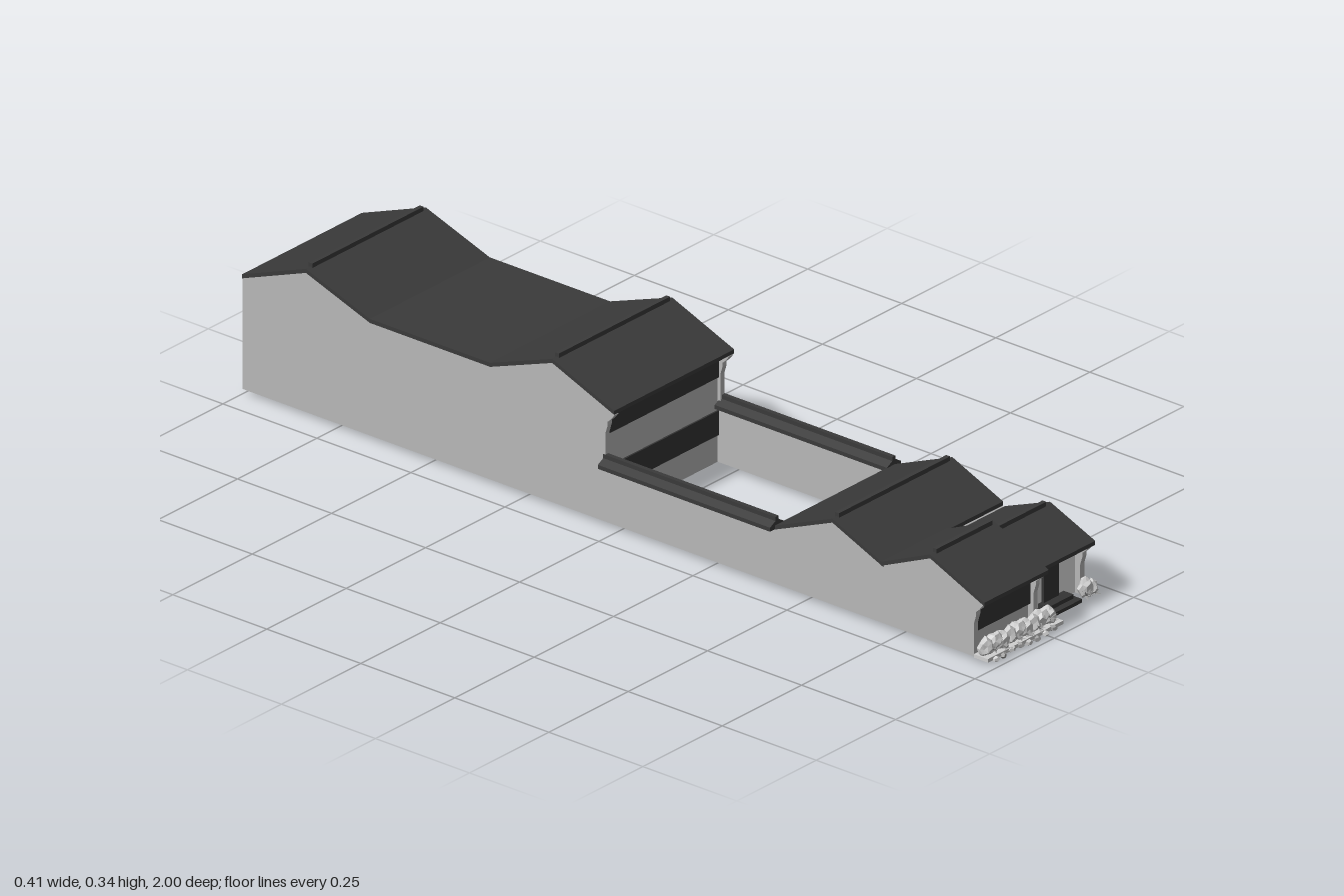
import * as THREE from 'three';
import { mergeGeometries } from 'three/addons/utils/BufferGeometryUtils.js';

const material = (name, color, side = THREE.FrontSide) => {
  const m = new THREE.MeshStandardMaterial({ color, side });
  m.name = name;
  return m;
};

export function createModel() {
  const group = new THREE.Group();
  const wall = material('wall grey', 0xb8b8b8);
  const white = material('white plaster', 0xffffff);
  const roof = material('roof charcoal', 0x3a3a3a);
  const dark = material('window charcoal', 0x343434);
  const stone = material('planter pale grey', 0xd0d0d0);
  const leaf = material('leaf grey', 0x9a9a9a, THREE.DoubleSide);

  const add = (name, geometry, mat) => {
    const mesh = new THREE.Mesh(geometry, mat);
    mesh.name = name;
    group.add(mesh);
    return mesh;
  };
  // Box given by its limits on each axis
  const box = (name, mat, x0, x1, y0, y1, z0, z1) => {
    const g = new THREE.BoxGeometry(x1 - x0, y1 - y0, z1 - z0);
    g.translate((x0 + x1) / 2, (y0 + y1) / 2, (z0 + z1) / 2);
    return add(name, g, mat);
  };
  // Outline in (z, y), extruded across x
  const slab = (name, mat, pts, x0, x1) => {
    const shape = new THREE.Shape(pts.map(([z, y]) => new THREE.Vector2(z, y)));
    const g = new THREE.ExtrudeGeometry(shape, { depth: x1 - x0, bevelEnabled: false });
    g.rotateY(-Math.PI / 2);
    g.translate(x1, 0, 0);
    return add(name, g, mat);
  };
  const lower = (pts, d) => pts.map(([z, y]) => [z, y - d]);
  const roofSlab = (name, pts, x0, x1) =>
    slab(name, roof, [...pts, ...lower(pts, 0.009).reverse()], x0, x1);

  // Roof lines, front to back
  const leftLine = [[0.975, 0.144], [0.83, 0.208], [0.7, 0.151]];
  const rightLine = [[0.95, 0.137], [0.83, 0.188], [0.71, 0.141]];
  const midLine = [[0.705, 0.15], [0.57, 0.208], [0.415, 0.144]];
  const rearLine = [[-0.01, 0.271], [-0.175, 0.337], [-0.34, 0.277], [-0.66, 0.277], [-0.83, 0.337], [-1, 0.272]];
  roofSlab('frontLeftRoof', leftLine, -0.19, 0.012);
  roofSlab('frontRightRoof', rightLine, 0.012, 0.188);
  roofSlab('middleRoof', midLine, -0.19, 0.188);
  roofSlab('rearRoof', rearLine, -0.19, 0.188);

  // Ridge caps
  for (const [z, y, x0, x1] of [[0.83, 0.208, -0.175, 0], [0.83, 0.188, 0.022, 0.17],
    [0.57, 0.208, -0.175, 0.175], [-0.175, 0.337, -0.175, 0.175], [-0.83, 0.337, -0.175, 0.175]])
    box('ridgeCap', roof, x0, x1, y - 0.004, y + 0.008, z - 0.005, z + 0.005);

  // Gabled side walls, with brackets stepping out under the eaves
  const B = 0.013;
  const bracket = (z, y) => [[z, B], [z, y - 0.05], [z + 0.006, y - 0.03], [z + 0.006, y - 0.022],
    [z + 0.014, y - 0.015], [z + 0.024, y - 0.002]];
  const rearWall = [...bracket(-0.035, 0.262), ...lower(rearLine.slice(1), 0.005), [-1, B]];
  const sideWall = (frontLine, z, y) => [
    ...bracket(z, y), ...lower(frontLine.slice(1), 0.005), ...lower(midLine.slice(1), 0.005),
    [0.41, 0.143], [-0.035, 0.143], ...rearWall.slice(1)];
  slab('rightSideWall', wall, sideWall(leftLine, 0.945, 0.137), -0.188, -0.175);
  slab('leftSideWall', wall, sideWall(rightLine, 0.922, 0.13), 0.174, 0.187);
  slab('dividingWall', wall,
    [...bracket(0.945, 0.137), ...lower(leftLine.slice(1), 0.005), [0.7, B]], 0, 0.012);

  // Cross walls
  box('rearEndWall', wall, -0.187, 0.187, B, 0.266, -1, -0.992);
  box('courtyardFrontWall', wall, -0.18, 0.18, B, 0.138, 0.412, 0.42);
  box('courtyardRearWall', wall, -0.178, 0.178, B, 0.264, -0.052, -0.042);
  for (const [y0, y1] of [[0.205, 0.255], [0.075, 0.13]]) {
    box('courtyardWindow', dark, -0.175, 0.174, y0, y1, -0.042, -0.038);
    box('courtyardWindowInside', dark, -0.175, 0.174, y0, y1, -0.056, -0.052);
  }

  // Tiled copings along both courtyard walls
  for (const s of [-1, 1]) {
    const cx = s * 0.184;
    const shape = new THREE.Shape([[-0.022, 0.137], [0.022, 0.137], [0.022, 0.146], [0.005, 0.155],
      [0.005, 0.164], [-0.005, 0.164], [-0.005, 0.155], [-0.022, 0.146]]
      .map(([x, y]) => new THREE.Vector2(x, y)));
    const g = new THREE.ExtrudeGeometry(shape, { depth: 0.458, bevelEnabled: false });
    g.translate(cx, 0, -0.04);
    add('courtyardCoping', g, roof);
  }

  // Left and right shopfronts
  box('shopfrontWall', wall, -0.177, 0.002, B, 0.138, 0.92, 0.93);
  box('shopfrontWindow', dark, -0.176, 0.001, 0.06, 0.127, 0.93, 0.936);
  box('entranceWall', white, 0.012, 0.175, B, 0.13, 0.9, 0.908);
  box('door', dark, 0.068, 0.115, 0.03, 0.125, 0.908, 0.915);
  box('doorHandle', roof, 0.114, 0.118, 0.03, 0.09, 0.908, 0.913);
  box('lowerStep', dark, 0.05, 0.147, B, 0.021, 0.908, 0.95);
  box('upperStep', dark, 0.058, 0.138, 0.021, 0.03, 0.908, 0.935);
  box('sideWindow', dark, 0.187, 0.195, 0.067, 0.095, 0.822, 0.84);

  // Planter with rough pale shrubs
  let seed = 7;
  const rnd = () => (seed = (seed * 16807) % 2147483647) / 2147483647;
  box('planterBase', stone, -0.188, 0.05, 0.01, 0.018, 0.945, 0.982);
  const shrub = (x, y, z, rx, ry, rz) => {
    const g = new THREE.IcosahedronGeometry(1, 1);
    const p = g.attributes.position;
    for (let i = 0; i < p.count; i++) {
      const k = 0.9 + 0.14 * Math.sin(7 * p.getX(i) + 5 * p.getY(i) + 3 * p.getZ(i) + x * 90);
      p.setXYZ(i, p.getX(i) * k * rx, p.getY(i) * k * ry, p.getZ(i) * k * rz);
    }
    g.computeVertexNormals();
    g.translate(x, y, z);
    add('shrub', g, stone);
  };
  for (let i = 0; i < 9; i++)
    shrub(-0.17 + i * 0.0245, 0.034 + 0.003 * Math.sin(i * 2), 0.962, 0.021, 0.023, 0.018);
  shrub(0.164, 0.04, 0.945, 0.021, 0.025, 0.016);
  shrub(0.184, 0.034, 0.945, 0.013, 0.02, 0.014);

  // Leafy clumps: folded pointed blades fanned round a centre
  const clump = (x, y, z, size) => {
    const blades = [];
    for (let i = 0; i < 9; i++) {
      const blade = new THREE.ConeGeometry(size * 0.28, size, 3, 1, true);
      blade.scale(1, 1, 0.3);
      blade.translate(0, size / 2, 0);
      blade.rotateX(0.5 + rnd() * 1.3);
      blade.rotateY((i / 9) * Math.PI * 2 + rnd() * 0.4);
      blades.push(blade);
    }
    const g = mergeGeometries(blades);
    g.translate(x, y, z);
    add('leafClump', g, leaf);
  };
  for (const [x, y, z, size] of [[-0.16, 0.026, 0.977, 0.02], [-0.125, 0.02, 0.98, 0.013],
    [-0.088, 0.026, 0.977, 0.02], [-0.05, 0.021, 0.98, 0.014], [-0.02, 0.024, 0.978, 0.015],
    [0.018, 0.032, 0.972, 0.02], [0.036, 0.018, 0.965, 0.013],
    [0.158, 0.024, 0.952, 0.019], [0.187, 0.02, 0.952, 0.014]])
    clump(x, y, z, size);

  // Trailing plants and edging stones in front of the planter
  for (let i = 0; i < 8; i++) {
    const g = new THREE.DodecahedronGeometry(0.008, 0);
    g.scale(1.3, 0.9, 0.9);
    g.rotateY(rnd() * 3);
    g.translate(-0.165 + i * 0.026, 0.008 + rnd() * 0.006, 0.982);
    add('edgingStone', g, i % 2 ? leaf : stone);
  }
  return group;
}
